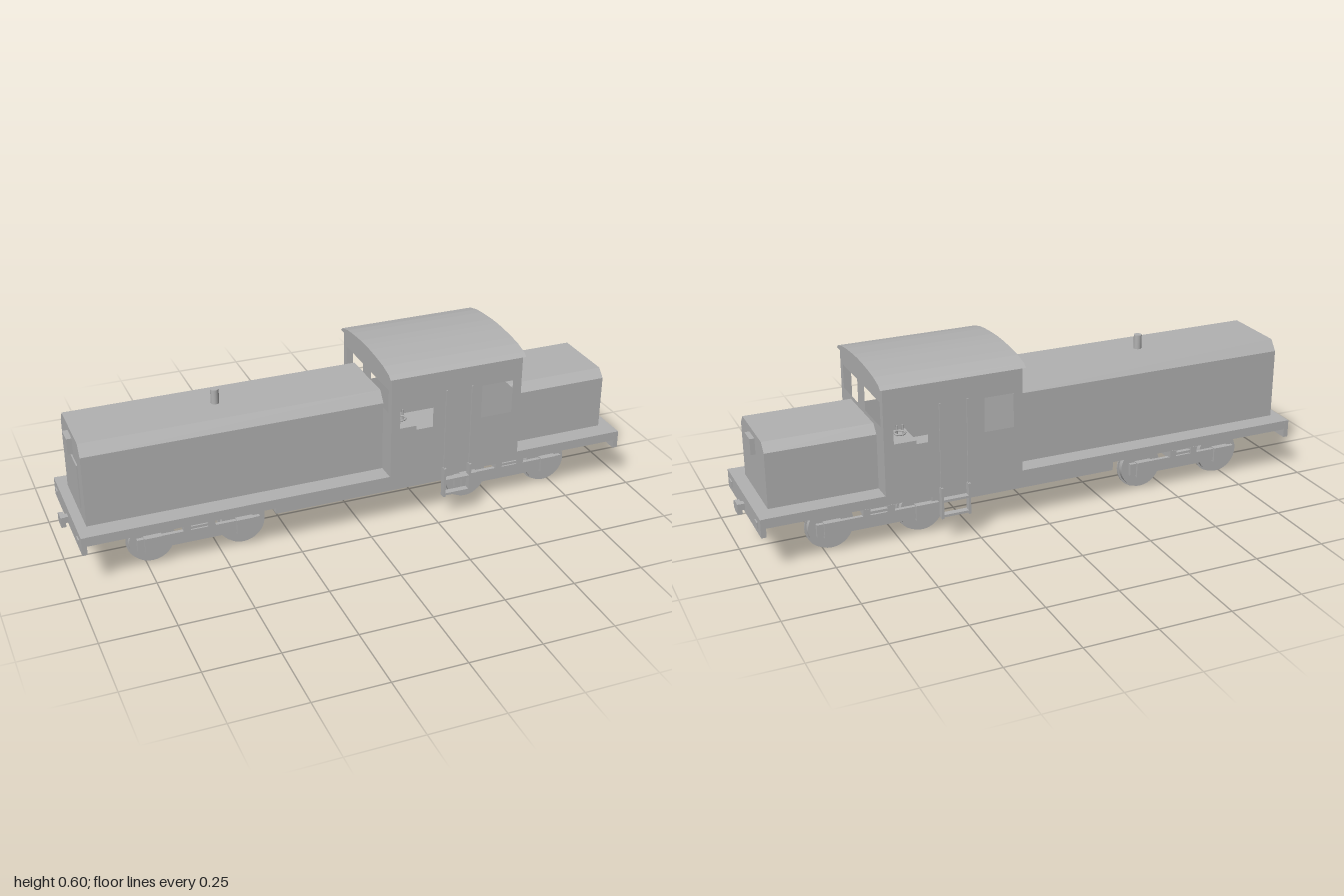
import * as THREE from 'three';

const grey = new THREE.MeshStandardMaterial({ color: 0xb2b2b2 });
grey.name = 'plain grey';

function add(parent, name, geometry, x = 0, y = 0, z = 0) {
  const mesh = new THREE.Mesh(geometry, grey);
  mesh.name = name;
  mesh.position.set(x, y, z);
  parent.add(mesh);
  return mesh;
}

// box given by its limits on each axis
function box(parent, name, x0, x1, y0, y1, z0, z1) {
  return add(parent, name, new THREE.BoxGeometry(x1 - x0, y1 - y0, z1 - z0),
    (x0 + x1) / 2, (y0 + y1) / 2, (z0 + z1) / 2);
}

// cylinder lying along z
function disc(parent, name, r, depth, x, y, z, sides = 32) {
  return add(parent, name, new THREE.CylinderGeometry(r, r, depth, sides).rotateX(Math.PI / 2), x, y, z);
}

const polygon = (points) => new THREE.Shape(points.map(([a, b]) => new THREE.Vector2(a, b)));
const rect = (a0, a1, b0, b1) => polygon([[a0, b0], [a0, b1], [a1, b1], [a1, b0]]);
const extrude = (shape, depth) => new THREE.ExtrudeGeometry(shape, { depth, bevelEnabled: false });

// extrusion of a (z, y) section along x
function alongX(parent, name, shape, x0, x1) {
  return add(parent, name, extrude(shape, x1 - x0).rotateY(Math.PI / 2), x0);
}

// upper half-section of the curved roof, from eave to eave
const roofArc = [[0.22, 0.563], [0.205, 0.575], [0.157, 0.587], [0.117, 0.592], [0.08, 0.595], [0.04, 0.5975], [0, 0.5985]];
const roofLine = [...roofArc, ...roofArc.slice(0, -1).reverse().map(([z, y]) => [-z, y])];

function hood(parent, name, x0, x1, shoulder, top) {
  alongX(parent, name, polygon([[-0.142, 0.195], [0.142, 0.195], [0.142, shoulder],
    [0.115, top], [-0.115, top], [-0.142, shoulder]]), x0, x1);
}

function buildCab() {
  const cab = new THREE.Group();
  cab.name = 'cab';
  // end walls with two windows each
  for (const [x0, x1] of [[0.083, 0.093], [0.553, 0.563]]) {
    const wall = rect(-0.213, 0.213, 0.195, 0.568);
    wall.holes.push(rect(0.035, 0.187, 0.428, 0.512), rect(-0.187, -0.035, 0.428, 0.512));
    alongX(cab, 'cabEndWall', wall, x0, x1);
  }
  // side walls with a window on each side of the door
  for (const s of [1, -1]) {
    const wall = rect(0.083, 0.563, 0.195, 0.568);
    wall.holes.push(rect(0.115, 0.235, 0.36, 0.48), rect(0.415, 0.53, 0.36, 0.48));
    add(cab, 'cabSideWall', extrude(wall, 0.008), 0, 0, s > 0 ? 0.205 : -0.213);
  }
  alongX(cab, 'roof', polygon(roofLine), 0.075, 0.571);

  // driving desks with levers and a hand wheel
  for (const [x, s] of [[0.14, 1], [0.49, -1]]) {
    box(cab, 'controlDesk', x - 0.045, x + 0.045, 0.195, 0.362, s > 0 ? 0.08 : -0.19, s > 0 ? 0.19 : -0.08);
    for (const d of [-0.02, 0, 0.02]) {
      add(cab, 'lever', new THREE.CylinderGeometry(0.003, 0.003, 0.04, 6), x + d, 0.38, s * 0.13);
    }
    add(cab, 'handWheel', new THREE.TorusGeometry(0.018, 0.003, 6, 16).rotateX(Math.PI / 2), x, 0.385, s * 0.16);
  }
  return cab;
}

// handrails and hanging steps beside one cab door
function buildSteps(s) {
  const steps = new THREE.Group();
  steps.name = 'doorSteps';
  for (const x of [0.28, 0.375]) {
    box(steps, 'handrail', x - 0.0025, x + 0.0025, 0.1, 0.49, s * 0.22 - 0.0025, s * 0.22 + 0.0025);
    box(steps, 'stepHanger', x - 0.004, x + 0.004, 0.085, 0.195, s * 0.219 - 0.011, s * 0.219 + 0.011);
  }
  for (const y of [0.095, 0.148]) {
    box(steps, 'stepTread', 0.278, 0.377, y - 0.004, y + 0.004, s * 0.219 - 0.011, s * 0.219 + 0.011);
  }
  return steps;
}

function buildBogie(x) {
  const bogie = new THREE.Group();
  bogie.name = 'bogie';
  bogie.position.x = x;
  for (const e of [1, -1]) {
    const wx = e * 0.157;
    disc(bogie, 'axle', 0.01, 0.27, wx, 0.083, 0, 12);
    // traction motor on the inner side of the axle
    const inner = wx - e * 0.062;
    box(bogie, 'motor', Math.min(wx, inner), Math.max(wx, inner), 0.041, 0.122, -0.078, 0.078);
    for (const s of [1, -1]) {
      disc(bogie, 'wheel', 0.076, 0.02, wx, 0.083, s * 0.115);
      disc(bogie, 'wheelFlange', 0.083, 0.004, wx, 0.083, s * 0.105);
      box(bogie, 'axleBox', wx - 0.03, wx + 0.03, 0.058, 0.112, s * 0.146 - 0.011, s * 0.146 + 0.011);
      box(bogie, 'springSeat', e * 0.042 - 0.012, e * 0.042 + 0.012, 0.108, 0.134, s * 0.143 - 0.012, s * 0.143 + 0.012);
    }
  }
  for (const s of [1, -1]) {
    box(bogie, 'sideFrame', -0.21, 0.21, 0.064, 0.108, s * 0.142 - 0.007, s * 0.142 + 0.007);
    box(bogie, 'spring', -0.05, 0.05, 0.113, 0.122, s * 0.143 - 0.008, s * 0.143 + 0.008);
  }
  box(bogie, 'bolster', -0.04, 0.04, 0.09, 0.162, -0.135, 0.135);
  return bogie;
}

export function createModel() {
  const model = new THREE.Group();
  model.name = 'locomotive';

  // frame
  box(model, 'deck', -0.972, 0.972, 0.162, 0.195, -0.208, 0.208);
  box(model, 'underframeTank', -0.3, 0.375, 0.093, 0.163, -0.133, 0.133);

  // bodywork
  hood(model, 'longHood', -0.94, 0.084, 0.443, 0.48);
  hood(model, 'shortHood', 0.562, 0.93, 0.385, 0.414);
  model.add(buildCab());
  add(model, 'exhaust', new THREE.CylinderGeometry(0.014, 0.014, 0.055, 16), -0.457, 0.503, 0);
  box(model, 'hoodEndDoor', -0.945, -0.939, 0.235, 0.39, -0.09, 0.09);
  box(model, 'rearHeadlight', -0.958, -0.939, 0.402, 0.458, -0.031, 0.031);
  box(model, 'frontHeadlight', 0.929, 0.946, 0.338, 0.393, -0.031, 0.031);

  // end beams, lamps and couplers
  for (const e of [1, -1]) {
    const end = new THREE.Group();
    end.name = 'endBeam';
    if (e < 0) end.rotation.y = Math.PI;
    box(end, 'beam', 0.956, 0.973, 0.132, 0.195, -0.209, 0.209);
    for (const s of [1, -1]) {
      box(end, 'markerLamp', 0.972, 0.977, 0.153, 0.173, s * 0.164 - 0.014, s * 0.164 + 0.014);
    }
    box(end, 'couplerShank', 0.972, 0.986, 0.142, 0.164, -0.01, 0.012);
    box(end, 'couplerHead', 0.984, 1.0, 0.134, 0.17, -0.022, 0.018);
    box(end, 'couplerKnuckle', 0.988, 1.0, 0.14, 0.165, 0.017, 0.028);
    model.add(end);
  }

  for (const s of [1, -1]) model.add(buildSteps(s));
  for (const x of [-0.572, 0.568]) model.add(buildBogie(x));
  return model;
}
